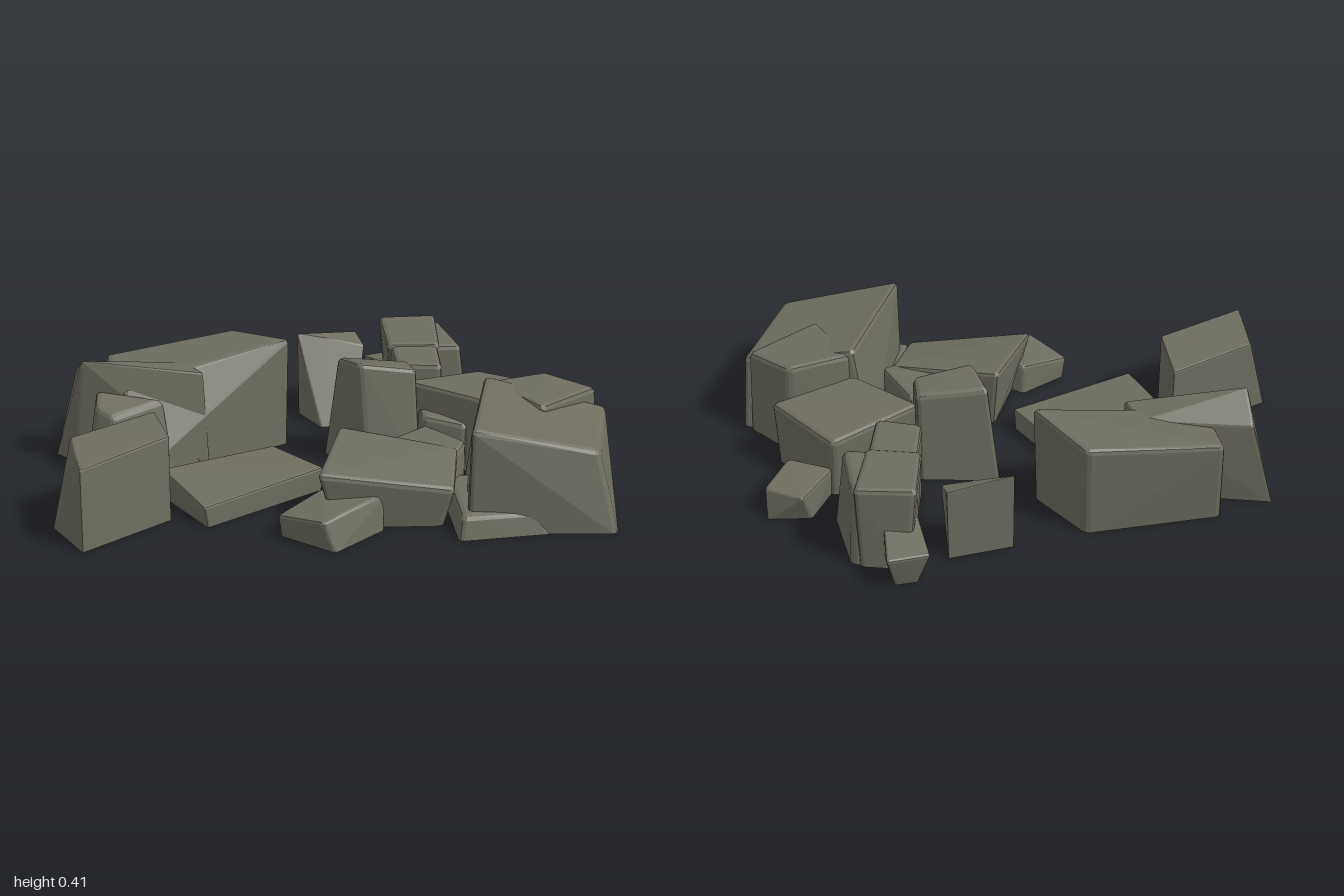
import * as THREE from 'three';
import { ConvexGeometry } from 'three/addons/geometries/ConvexGeometry.js';

// Each rock: base corners [x, z] on the ground and matching top corners [x, z, y], in order around the rock
const ROCKS = {
  leftBoulder: {
    base: [[-0.83, -0.17], [-0.36, -0.34], [-0.15, -0.16], [-0.72, 0.21]],
    top: [[-0.83, -0.21, 0.34], [-0.36, -0.365, 0.38], [-0.14, -0.18, 0.415], [-0.74, 0.05, 0.31]],
  },
  leftLeaningSlab: {
    base: [[-1.01, -0.06], [-0.93, 0.01], [-0.43, 0.05], [-0.5, -0.08]],
    top: [[-0.92, -0.07, 0.34], [-0.885, 0.06, 0.42], [-0.45, 0.0, 0.35], [-0.53, -0.11, 0.35]],
    bevel: 0.01,
  },
  leftInnerRock: {
    base: [[-0.82, 0.02], [-0.88, 0.19], [-0.77, 0.27], [-0.55, 0.11]],
    top: [[-0.84, 0.04, 0.3], [-0.83, 0.15, 0.28], [-0.76, 0.2, 0.26], [-0.59, 0.06, 0.27]],
  },
  frontLeftBlock: {
    base: [[-0.945, 0.56], [-0.61, 0.27], [-0.54, 0.5], [-0.82, 0.755]],
    top: [[-0.88, 0.49, 0.31], [-0.61, 0.26, 0.31], [-0.54, 0.49, 0.315], [-0.82, 0.745, 0.3]],
    bevel: 0.008,
  },
  flatSlab: {
    base: [[-0.58, 0.32], [-0.2, 0.07], [-0.02, 0.25], [-0.41, 0.56]],
    top: [[-0.585, 0.31, 0.11], [-0.2, 0.06, 0.09], [-0.015, 0.25, 0.09], [-0.42, 0.57, 0.08]],
    bevel: 0.008,
  },
  rightBoulder: {
    base: [[0.5, 0.09], [0.48, 0.6], [1.0, 0.595], [1.0, 0.11]],
    top: [[0.56, 0.11, 0.39], [0.485, 0.61, 0.39], [0.925, 0.55, 0.29], [0.99, 0.15, 0.29]],
  },
  rightBackBoulder: {
    base: [[0.56, 0.1], [0.8, -0.01], [0.97, 0.1], [0.76, 0.33]],
    top: [[0.57, 0.11, 0.37], [0.78, 0.0, 0.36], [0.96, 0.11, 0.345], [0.75, 0.33, 0.36]],
  },
  rightFootRock: {
    base: [[0.41, 0.32], [0.45, 0.66], [0.77, 0.6], [0.7, 0.3]],
    top: [[0.42, 0.32, 0.1], [0.46, 0.64, 0.085], [0.72, 0.59, 0.08], [0.68, 0.3, 0.1]],
  },
  rightMiddleRock: {
    base: [[0.31, -0.06], [0.57, -0.26], [0.82, -0.08], [0.55, 0.11]],
    top: [[0.28, -0.06, 0.3], [0.56, -0.28, 0.25], [0.83, -0.09, 0.27], [0.56, 0.1, 0.29]],
  },
  middleTallRock: {
    base: [[-0.02, -0.08], [0.28, -0.12], [0.34, 0.05], [0.14, 0.1]],
    top: [[0.03, -0.06, 0.39], [0.29, -0.1, 0.36], [0.32, 0.01, 0.37], [0.11, 0.07, 0.415]],
  },
  lowMiddleRock: {
    base: [[0.32, -0.05], [0.34, 0.05], [0.5, 0.09], [0.55, -0.05]],
    top: [[0.33, -0.05, 0.2], [0.34, 0.04, 0.2], [0.5, 0.08, 0.18], [0.55, -0.05, 0.2]],
  },
  backWedge: {
    base: [[-0.12, -0.45], [-0.03, -0.31], [0.1, -0.34], [0.1, -0.55]],
    top: [[-0.125, -0.46, 0.325], [-0.02, -0.47, 0.305], [0.135, -0.48, 0.27], [0.1, -0.56, 0.3]],
    bevel: 0.006,
  },
  backTallRock: {
    base: [[0.22, -0.63], [0.4, -0.64], [0.4, -0.36], [0.24, -0.36]],
    top: [[0.19, -0.62, 0.34], [0.41, -0.645, 0.34], [0.42, -0.37, 0.32], [0.22, -0.36, 0.32]],
  },
  backSmallRock: {
    base: [[0.18, -0.69], [0.26, -0.72], [0.34, -0.52], [0.22, -0.5]],
    top: [[0.13, -0.71, 0.14], [0.275, -0.77, 0.14], [0.33, -0.55, 0.19], [0.21, -0.53, 0.18]],
    bevel: 0.01,
  },
  backSideRock: {
    base: [[0.36, -0.63], [0.43, -0.63], [0.54, -0.38], [0.38, -0.36]],
    top: [[0.36, -0.62, 0.33], [0.42, -0.62, 0.32], [0.5, -0.38, 0.31], [0.38, -0.37, 0.31]],
  },
  backInnerRock: {
    base: [[0.24, -0.4], [0.41, -0.4], [0.43, -0.18], [0.26, -0.18]],
    top: [[0.23, -0.4, 0.31], [0.41, -0.4, 0.31], [0.42, -0.18, 0.31], [0.25, -0.19, 0.31]],
  },
  rightBackRock: {
    base: [[0.62, -0.4], [0.78, -0.43], [0.78, -0.17], [0.57, -0.2]],
    top: [[0.64, -0.45, 0.12], [0.79, -0.4, 0.12], [0.74, -0.23, 0.13], [0.57, -0.25, 0.12]],
    bevel: 0.01,
  },
  frontMiddleRock: {
    base: [[0.06, 0.27], [0.44, 0.31], [0.4, 0.54], [0.02, 0.56]],
    top: [[0.04, 0.24, 0.25], [0.46, 0.31, 0.2], [0.44, 0.56, 0.145], [-0.035, 0.595, 0.215]],
  },
  frontSmallRock: {
    base: [[-0.16, 0.62], [-0.02, 0.48], [0.2, 0.57], [0.03, 0.75]],
    top: [[-0.17, 0.63, 0.085], [-0.02, 0.49, 0.12], [0.2, 0.55, 0.13], [-0.01, 0.74, 0.11]],
    bevel: 0.012,
  },
  frontInnerRock: {
    base: [[0.18, 0.28], [0.35, 0.11], [0.49, 0.27], [0.44, 0.4]],
    top: [[0.19, 0.27, 0.2], [0.35, 0.11, 0.2], [0.49, 0.28, 0.21], [0.42, 0.4, 0.17]],
  },
};

// Hull of the eight corners with softened upper and side edges and a flat foot
function rockGeometry({ base, top, bevel = 0.018 }) {
  const foot = base.map(([x, z]) => new THREE.Vector3(x, 0, z));
  const head = top.map(([x, z, y]) => new THREE.Vector3(x, y, z));
  const step = (from, to) => to.clone().sub(from).setLength(bevel);
  const points = [];
  for (let i = 0; i < 4; i++) {
    const next = (i + 1) % 4, prev = (i + 3) % 4;
    const t = head[i], f = foot[i];
    const a = step(t, head[next]), b = step(t, head[prev]), c = step(t, f);
    const add = (u, v, w) => points.push(
      t.clone().addScaledVector(a, u).addScaledVector(b, v).addScaledVector(c, w));
    add(1, 1, 0); add(1, 0, 1); add(0, 1, 1);
    add(0.3, 0.3, 1); add(0.3, 1, 0.3); add(1, 0.3, 0.3);
    const p = step(f, foot[next]), q = step(f, foot[prev]);
    for (const [u, v] of [[1, 0], [0.3, 0.3], [0, 1]])
      points.push(f.clone().addScaledVector(p, u).addScaledVector(q, v));
  }
  return new ConvexGeometry(points);
}

export function createModel() {
  const group = new THREE.Group();
  group.name = 'rockPile';
  const stone = new THREE.MeshStandardMaterial({ color: 0x6e6d60 });
  stone.name = 'stone';
  for (const [name, rock] of Object.entries(ROCKS)) {
    const mesh = new THREE.Mesh(rockGeometry(rock), stone);
    mesh.name = name;
    group.add(mesh);
  }
  return group;
}
